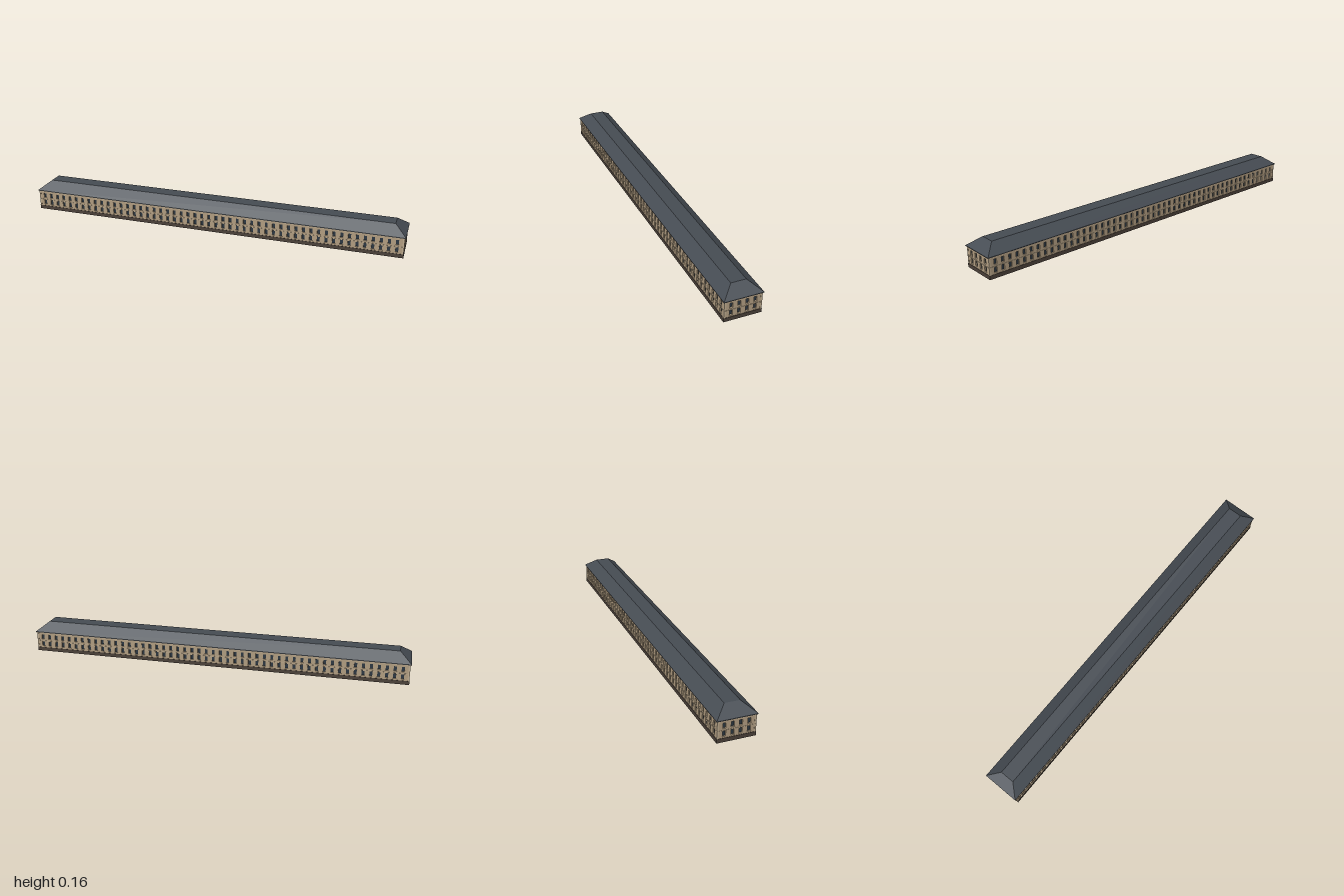
import * as THREE from 'three';
import { mergeGeometries } from 'three/addons/utils/BufferGeometryUtils.js';

const L = 2.022, W = 0.184;            // wall length and depth
const PLINTH = 0.02, WALL_TOP = 0.106, EAVE = 0.111, ROOF_TOP = 0.157;
const T = 0.006;                       // depth of the window reveals
const WIN_W = 0.015, WIN_H = 0.026, SPACING = 0.0391;
const SILLS = [0.028, 0.068];          // bottom of each window row

const paint = (color, extra = {}) => new THREE.MeshStandardMaterial({ color, flatShading: true, ...extra });
const mats = {
  wall: paint(0xb09c80),
  trim: paint(0xbcaa8e),
  plinth: paint(0x4a4038),
  roof: paint(0x464c53, { side: THREE.DoubleSide }),
  glass: paint(0x2b3640),
};

function mesh(name, geometry, material) {
  const m = new THREE.Mesh(geometry, material);
  m.name = name;
  return m;
}

function box(w, h, d, x, y, z) {
  return new THREE.BoxGeometry(w, h, d).translate(x, y, z);
}

// Facade panel in its own frame: outer face at z = 0, facing +z
function facade(name, length, columns) {
  const g = new THREE.Group();
  g.name = name;
  const shape = new THREE.Shape();
  shape.moveTo(-length / 2, PLINTH);
  shape.lineTo(length / 2, PLINTH);
  shape.lineTo(length / 2, WALL_TOP);
  shape.lineTo(-length / 2, WALL_TOP);
  shape.closePath();

  const panes = [], sills = [];
  for (let i = 0; i < columns; i++) {
    const x = (i - (columns - 1) / 2) * SPACING;
    for (const y of SILLS) {
      const a = x - WIN_W / 2, b = x + WIN_W / 2;
      const hole = new THREE.Path();
      hole.moveTo(a, y);
      hole.lineTo(a, y + WIN_H);
      hole.lineTo(b, y + WIN_H);
      hole.lineTo(b, y);
      hole.closePath();
      shape.holes.push(hole);
      panes.push(box(WIN_W + 0.002, WIN_H + 0.002, 0.001, x, y + WIN_H / 2, -T - 0.0005));
      sills.push(box(WIN_W + 0.003, 0.002, 0.004, x, y - 0.0005, 0));
    }
  }
  const wall = new THREE.ExtrudeGeometry(shape, { depth: T, bevelEnabled: false }).translate(0, 0, -T);
  g.add(mesh('wall', wall, mats.wall));
  g.add(mesh('windowPanes', mergeGeometries(panes), mats.glass));
  g.add(mesh('windowSills', mergeGeometries(sills), mats.trim));
  g.add(mesh('stringCourse', box(length, 0.003, 0.002, 0, 0.0575, 0.0005), mats.trim));
  return g;
}

// Hipped roof with a flat top: a four-sided ring pulled in by a fixed inset
function roofGeometry(length, width, inset) {
  const g = new THREE.BoxGeometry(length, ROOF_TOP - EAVE, width);
  const p = g.attributes.position;
  for (let i = 0; i < p.count; i++) {
    if (p.getY(i) > 0) {
      p.setX(i, Math.sign(p.getX(i)) * (length / 2 - inset));
      p.setZ(i, Math.sign(p.getZ(i)) * (width / 2 - inset));
    }
  }
  g.translate(0, (ROOF_TOP + EAVE) / 2, 0);
  g.computeVertexNormals();
  return g;
}

export function createModel() {
  const model = new THREE.Group();
  model.name = 'longBuilding';
  const building = new THREE.Group();
  building.name = 'building';
  building.rotation.y = -0.302;
  model.add(building);

  // Base
  building.add(mesh('plinth', box(L + 0.004, PLINTH, W + 0.004, 0, PLINTH / 2, 0), mats.plinth));

  // Long and short facades, in opposite pairs
  for (const s of [1, -1]) {
    const long = facade(s > 0 ? 'frontFacade' : 'backFacade', L, 51);
    long.position.z = s * W / 2;
    long.rotation.y = s > 0 ? 0 : Math.PI;
    const end = facade(s > 0 ? 'leftFacade' : 'rightFacade', W, 4);
    end.position.x = s * L / 2;
    end.rotation.y = s * Math.PI / 2;
    building.add(long, end);
  }

  // Corner strips
  const corners = [];
  for (const sx of [1, -1]) for (const sz of [1, -1]) {
    corners.push(box(0.009, WALL_TOP - PLINTH, 0.009,
      sx * (L / 2 - 0.0035), (WALL_TOP + PLINTH) / 2, sz * (W / 2 - 0.0035)));
  }
  building.add(mesh('cornerStrips', mergeGeometries(corners), mats.trim));

  // Cornice, eaves and roof
  building.add(mesh('cornice', box(L + 0.007, 0.004, W + 0.007, 0, WALL_TOP + 0.001, 0), mats.trim));
  building.add(mesh('eaves', box(L + 0.012, 0.003, W + 0.012, 0, EAVE - 0.0015, 0), mats.roof));
  building.add(mesh('roof', roofGeometry(L + 0.012, W + 0.012, 0.06), mats.roof));
  return model;
}
